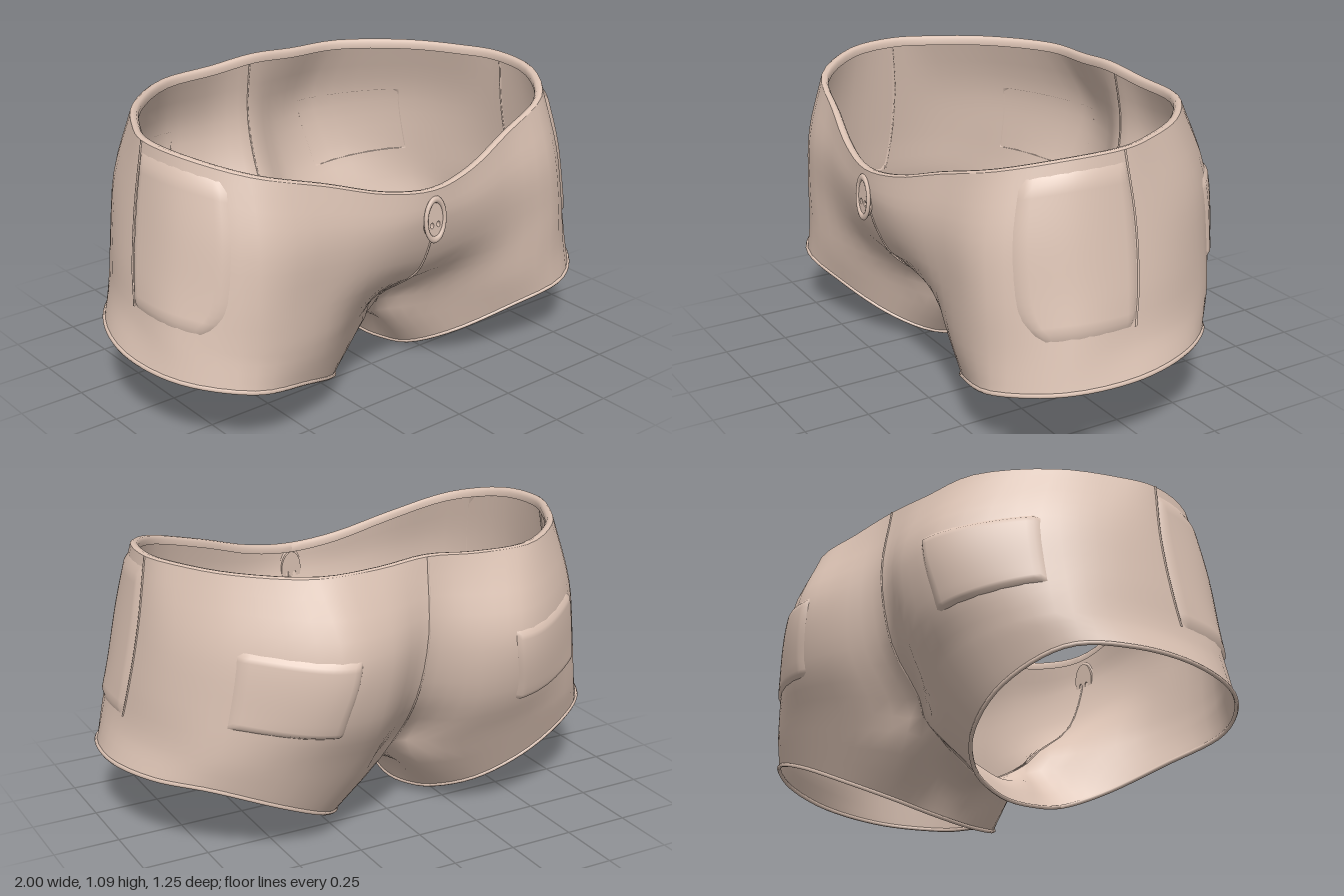
import * as THREE from 'three';
import { mergeGeometries, mergeVertices } from 'three/addons/utils/BufferGeometryUtils.js';

const V = (p) => new THREE.Vector3(...p);
const curve = (pts, closed = false) => new THREE.CatmullRomCurve3(pts, closed);
const flip = (p) => new THREE.Vector3(-p.x, p.y, p.z);
const N = 4; // samples per control span

// Half cross-sections, from front centre round the side to back centre
const waist = [[0, .84, .605], [.2, .865, .58], [.43, .935, .525], [.68, 1.005, .45], [.82, 1.05, .26], [.845, 1.06, .05],
  [.79, 1.06, -.1], [.665, 1.06, -.3], [.43, 1.06, -.48], [.2, 1.065, -.495], [0, 1.08, -.49]];
const hip = [[0, .72, .6], [.2, .72, .59], [.42, .75, .56], [.7, .78, .51], [.86, .82, .29], [.88, .82, .03],
  [.83, .82, -.18], [.69, .82, -.395], [.39, .79, -.605], [.18, .79, -.585], [0, .8, -.525]];
const seat = [[0, .5, .515], [.2, .53, .535], [.44, .54, .54], [.72, .57, .52], [.895, .6, .3], [.915, .6, .04],
  [.86, .6, -.19], [.72, .6, -.4], [.44, .56, -.575], [.2, .54, -.56], [0, .54, -.46]];
const split = [[0, .28, .27], [.17, .3, .375], [.43, .34, .51], [.73, .38, .52], [.925, .42, .32], [.945, .42, .07],
  [.885, .42, -.18], [.75, .42, -.385], [.47, .38, -.5], [.2, .33, -.45], [0, .3, -.29]];
const hem = [[.19, .035, .24], [.29, .095, .37], [.5, .19, .49], [.75, .25, .525], [.94, .28, .35], [.992, .295, .08],
  [.92, .305, -.18], [.77, .3, -.355], [.53, .21, -.425], [.33, .11, -.365], [.21, .045, -.23]];
const columns = waist.map((_, i) => curve([waist, hip, seat, split, hem].map((r) => V(r[i]))));

// Columns from the crotch seam down the inner thigh
const bridge = [
  [[0, .2, -.13], [.095, .14, -.12], [.17, .018, -.11]],
  [[0, .14, .02], [.095, .115, .02], [.155, .008, .0]],
  [[0, .19, .14], [.095, .14, .14], [.165, .014, .12]],
].map((c) => curve(c.map(V)));

function torsoRow(v) {
  const half = columns.map((c) => c.getPoint(v / 4));
  return curve([...half, ...half.slice(1, -1).reverse().map(flip)], true);
}
const torsoPoint = (u, v) => torsoRow(v).getPoint(u / 20);

function legRow(v) {
  return curve([...columns.map((c) => c.getPoint(v / 4)), ...bridge.map((c) => c.getPoint(v - 3))], true);
}

// Sheet through rows of points
function sheet(rows) {
  const w = rows[0].length, index = [];
  for (let j = 0; j < rows.length - 1; j++) {
    for (let i = 0; i < w - 1; i++) {
      const a = j * w + i, b = a + w;
      index.push(a, b, a + 1, a + 1, b, b + 1);
    }
  }
  const g = new THREE.BufferGeometry().setFromPoints(rows.flat());
  g.setIndex(index);
  g.computeVertexNormals();
  return g;
}

function mirrored(geometry) {
  const g = geometry.clone().scale(-1, 1, 1), ix = g.index.array;
  for (let i = 0; i < ix.length; i += 3) [ix[i], ix[i + 1]] = [ix[i + 1], ix[i]];
  g.computeVertexNormals();
  return g;
}

// Slight lean of the upper cloth towards the right hip
function lean(geometry) {
  const p = geometry.attributes.position;
  for (let i = 0; i < p.count; i++) {
    p.setX(i, p.getX(i) - .02 * Math.max(0, (p.getY(i) - .45) / .6));
  }
  return geometry;
}

// Raised panel lying on the torso between two u and two v values
function panel(u0, u1, v0, v1, lift, taper) {
  const n = 18, rows = [];
  for (let j = 0; j <= n; j++) {
    const row = [], v = v0 + (v1 - v0) * j / n;
    const inset = taper * Math.pow(j / n, 8);
    for (let i = 0; i <= n; i++) {
      const u = u0 + inset + (u1 - u0 - inset) * i / n;
      const p = torsoPoint(u, v);
      const du = torsoPoint(u + .02, v).sub(p), dv = torsoPoint(u, v + .02).sub(p);
      const border = i === 0 || j === 0 || i === n || j === n;
      row.push(p.addScaledVector(dv.cross(du).normalize(), border ? -.002 : lift));
    }
    rows.push(row);
  }
  return sheet(rows);
}

export function createModel() {
  const group = new THREE.Group();
  group.name = 'shorts';
  const cloth = new THREE.MeshStandardMaterial({ color: 0xdcc3b4, side: THREE.DoubleSide });
  const add = (name, geometry) => {
    const mesh = new THREE.Mesh(lean(geometry), cloth);
    mesh.name = name;
    group.add(mesh);
    return mesh;
  };
  const addPair = (name, geometry) => {
    add(name + 'Right', mirrored(geometry));
    add(name + 'Left', geometry);
  };
  const tube = (c, segments, radius, closed = false) => new THREE.TubeGeometry(c, segments, radius, 6, closed);

  // Cloth shell: torso plus two legs, welded so the shading is smooth
  const torso = [], leg = [];
  for (let j = 0; j <= 3 * N; j++) torso.push(torsoRow(j / N).getPoints(20 * N));
  for (let j = 0; j <= N; j++) leg.push(legRow(3 + j / N).getPoints(14 * N));
  for (let i = 0; i <= 10 * N; i++) leg[0][i].copy(torso[3 * N][i]);
  leg[0][14 * N].copy(leg[0][0]);
  const legGeometry = sheet(leg);
  const parts = [sheet(torso), legGeometry, mirrored(legGeometry)];
  parts.forEach((g) => g.deleteAttribute('normal'));
  const shell = mergeVertices(mergeGeometries(parts), 1e-4);
  shell.computeVertexNormals();
  add('clothShell', shell);

  // Waistband folded over to the inside: [inward, up] steps from the rim
  const fold = [[.03, -.03], [.032, -.01], [.024, .003], [.01, .006], [0, 0]].map(([inward, up]) =>
    torso[0].map((p) => {
      const k = 1 - inward / Math.hypot(p.x, p.z);
      return new THREE.Vector3(p.x * k, p.y + up, p.z * k);
    }));
  add('waistband', sheet(fold));

  // Rolled leg hems
  addPair('legHem', tube(legRow(4), 70, .008, true));

  // Seams
  const seam = (u, v0, v1) => {
    const pts = [];
    for (let i = 0; i <= 12; i++) pts.push(torsoPoint(u, v0 + (v1 - v0) * i / 12));
    return tube(curve(pts), 30, .004);
  };
  add('frontSeam', seam(0, .9, 3));
  add('backSeam', seam(10, 0, 3));
  add('crotchSeam', tube(curve([split[10], [0, .2, -.13], [0, .14, .02], [0, .19, .14], split[0]].map(V)), 24, .004));
  addPair('sideSeam', seam(5, 0, 2.75));

  // Side pockets and back pockets
  addPair('sidePocket', panel(3.35, 4.98, .15, 2.75, .01, .35));
  addPair('backPocket', panel(7.0, 8.35, 1.0, 2.3, .01, 0));

  // Oval button with two holes and a raised rim
  const face = new THREE.Shape().absellipse(0, 0, .043, .075, 0, Math.PI * 2);
  for (const x of [-.015, .015]) {
    face.holes.push(new THREE.Path().absellipse(x, -.02, .008, .011, 0, Math.PI * 2, true));
  }
  const button = new THREE.Group();
  button.name = 'button';
  const disc = add('buttonFace', new THREE.ExtrudeGeometry(face, { depth: .018, bevelEnabled: false, curveSegments: 24 }));
  const rim = add('buttonRim', new THREE.TorusGeometry(.046, .008, 8, 32).scale(.95, 1.65, 1));
  rim.position.z = .018;
  button.add(disc, rim);
  button.position.set(-.018, .73, .594);
  button.rotation.x = -.05;
  group.add(button);

  return group;
}
